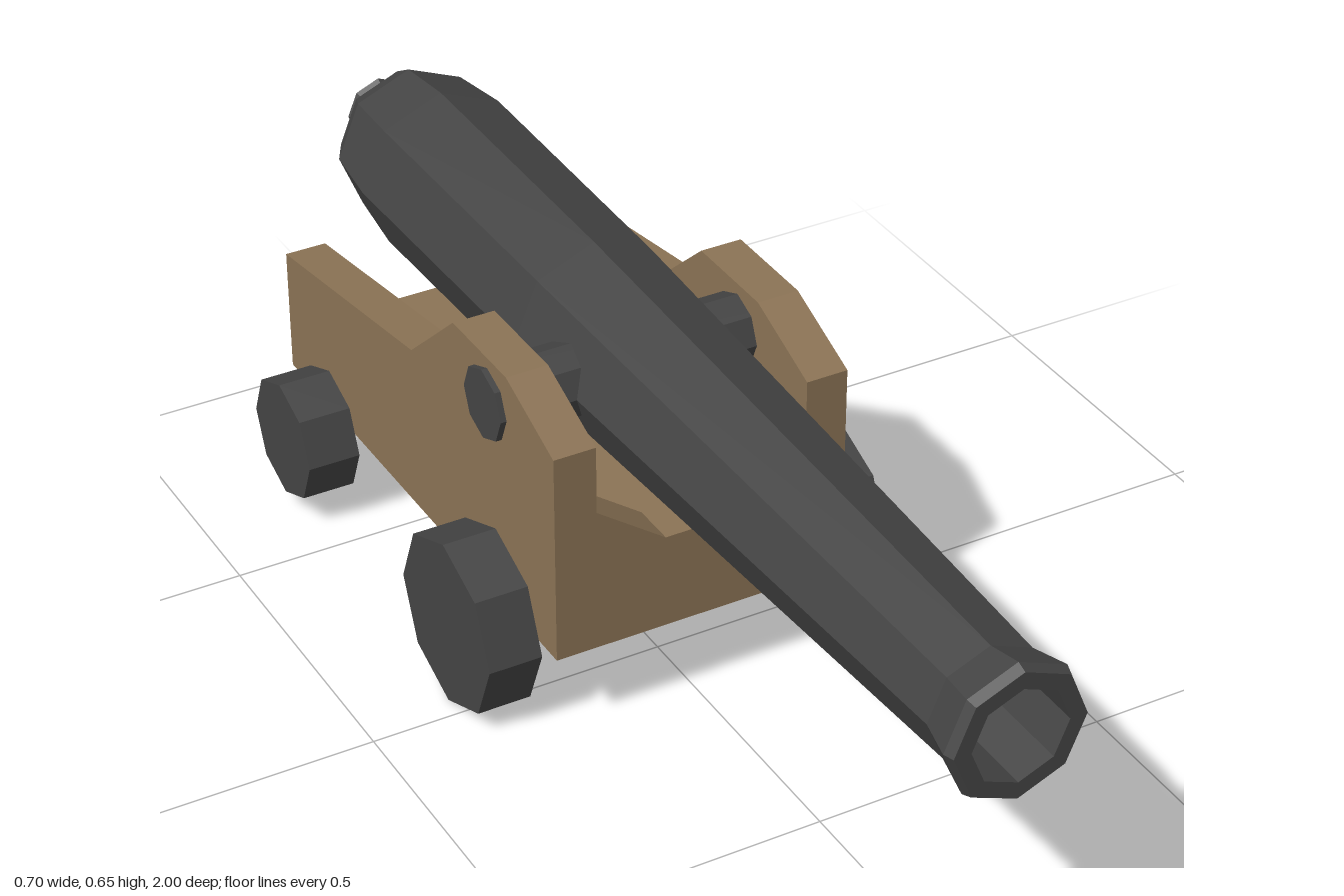
import * as THREE from 'three';

const iron = new THREE.MeshStandardMaterial({ color: 0x444444, flatShading: true });
const wood = new THREE.MeshStandardMaterial({ color: 0x8b7355, flatShading: true });
const AXIS_Y = 0.504; // height of the barrel axis

export function createModel() {
  const model = new THREE.Group();
  model.name = 'cannon';

  const add = (name, geometry, material, x = 0, y = 0, z = 0) => {
    const mesh = new THREE.Mesh(geometry, material);
    mesh.name = name;
    mesh.position.set(x, y, z);
    model.add(mesh);
    return mesh;
  };

  // Eight-sided rod or disc lying along x
  const rod = (name, radius, length, x, y, z) =>
    add(name, new THREE.CylinderGeometry(radius, radius, length, 8).rotateZ(Math.PI / 2), iron, x, y, z);

  const polygon = (points) => new THREE.Shape(points.map(([x, y]) => new THREE.Vector2(x, y)));
  const extrude = (points, depth) =>
    new THREE.ExtrudeGeometry(polygon(points), { depth, bevelEnabled: false });

  // Barrel: [radius, z] from the rear knob to the muzzle, then back into the bore
  const profile = [
    [0, -1], [0.058, -0.967], [0.03, -0.922], [0.045, -0.92], [0.108, -0.89],
    [0.133, -0.845], [0.147, -0.725], [0.14, -0.2], [0.097, 0.917],
    [0.113, 0.983], [0.107, 1], [0.079, 1], [0.079, 0.85], [0, 0.85],
  ].map(([r, z]) => new THREE.Vector2(r, z));
  add('barrel', new THREE.LatheGeometry(profile, 8).rotateX(Math.PI / 2), iron, 0, AXIS_Y, 0);
  rod('trunnion', 0.061, 0.524, 0, AXIS_Y, -0.072);

  // Carriage cheeks: side outline in (z, y)
  const cheek = extrude([
    [0.139, 0.156], [0.139, 0.522], [-0.01, 0.583], [-0.185, 0.583],
    [-0.337, 0.449], [-0.812, 0.373], [-0.812, 0.156],
  ], 0.071).rotateY(-Math.PI / 2);
  add('leftCheek', cheek, wood, 0.252);
  add('rightCheek', cheek, wood, -0.181);

  // Floor between the cheeks, and the notched board at the front
  add('floor', new THREE.BoxGeometry(0.362, 0.07, 0.951), wood, 0, 0.191, -0.3365);
  add('frontBoard', extrude([
    [-0.181, 0.226], [0.181, 0.226], [0.181, 0.405],
    [0.063, 0.32], [-0.063, 0.32], [-0.181, 0.405],
  ], 0.076), wood, 0, 0, 0.063);

  // Axles and wheels
  for (const [end, radius, axleRadius, y, z] of [
    ['front', 0.148, 0.038, 0.148, -0.038],
    ['rear', 0.105, 0.027, 0.139, -0.638],
  ]) {
    rod(`${end}Axle`, axleRadius, 0.56, 0, y, z);
    rod(`${end}LeftWheel`, radius, 0.09, 0.307, y, z);
    rod(`${end}RightWheel`, radius, 0.09, -0.307, y, z);
  }

  return model;
}
